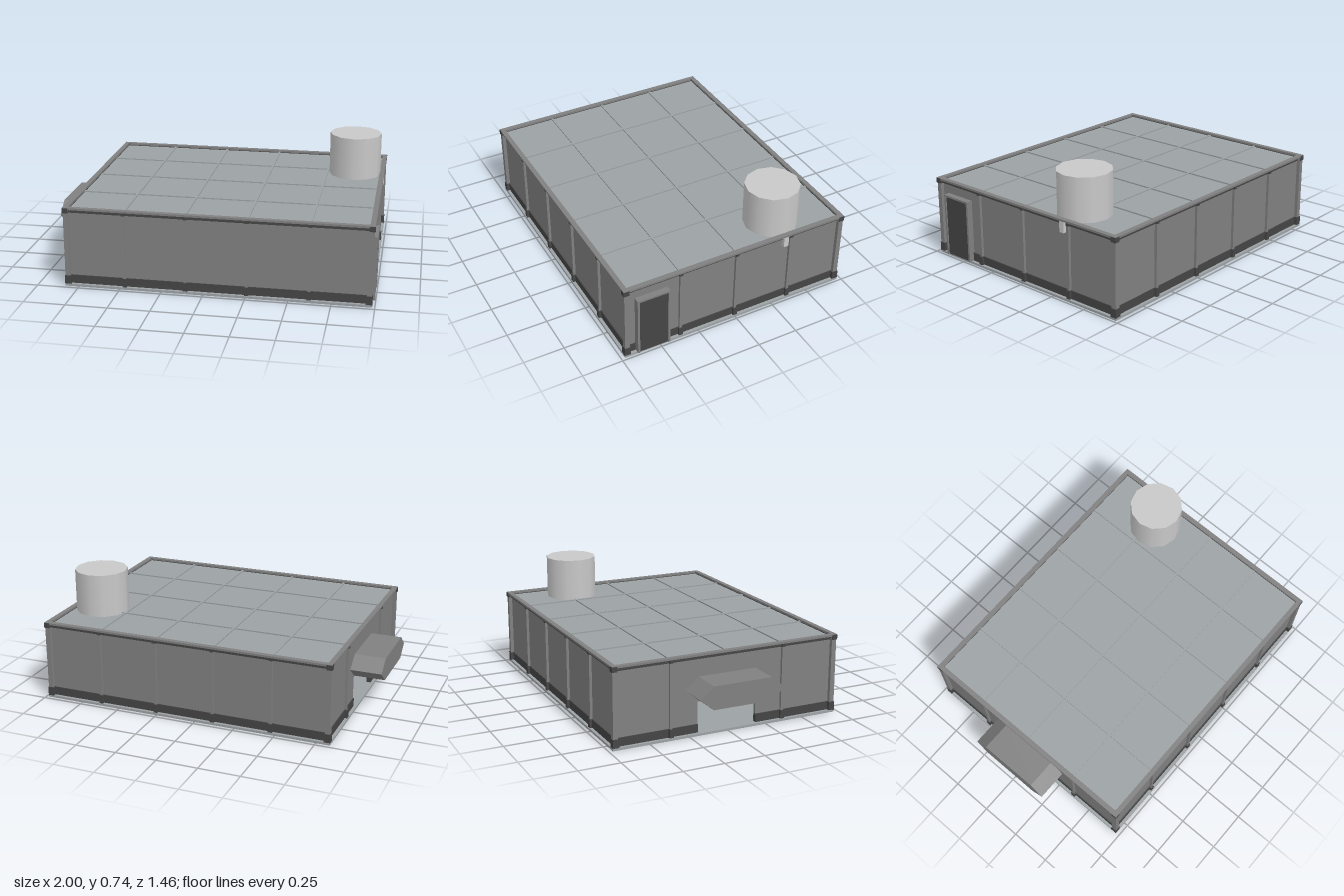
import * as THREE from 'three';

export function createModel() {
  const mat = (name, color) => {
    const m = new THREE.MeshStandardMaterial({ color });
    m.name = name;
    return m;
  };
  const wallGrey = mat('wall grey', 0x808080);
  const darkGrey = mat('dark grey', 0x454545);
  const panelGrey = mat('panel blue grey', 0x9ca1a4);
  const tankGrey = mat('tank light grey', 0xc8c8c8);

  const model = new THREE.Group();
  const CX = 0.075;          // centre of the main block in x
  const HX = 0.91, HZ = 0.727; // half sizes of the outer frame
  const INSET = 0.025;       // wall set back from the frame
  const T = 0.02;            // wall thickness

  const box = (parent, name, m, x0, x1, y0, y1, z0, z1) => {
    const mesh = new THREE.Mesh(new THREE.BoxGeometry(x1 - x0, y1 - y0, z1 - z0), m);
    mesh.position.set((x0 + x1) / 2, (y0 + y1) / 2, (z0 + z1) / 2);
    mesh.name = name;
    parent.add(mesh);
    return mesh;
  };

  const body = new THREE.Group();
  body.name = 'building';
  body.position.x = CX;
  model.add(body);

  // Floor and roof slabs
  box(body, 'floorSlab', panelGrey, -HX, HX, 0.004, 0.014, -HZ, HZ);
  box(body, 'roofSlab', panelGrey, -HX + 0.03, HX - 0.03, 0.46, 0.474, -HZ + 0.03, HZ - 0.03);

  // Ribs dividing roof and floor into 5 by 4 panels
  const stepX = 2 * HX / 5, stepZ = 2 * HZ / 4, rib = 0.006;
  const ribLevels = [['roofRib', 0.47, 0.482], ['floorRib', 0, 0.008]];
  for (const [name, y0, y1] of ribLevels) {
    for (let i = 1; i < 5; i++) {
      const x = -HX + i * stepX;
      box(body, name, panelGrey, x - rib, x + rib, y0, y1, -HZ + 0.028, HZ - 0.028);
    }
    for (let i = 1; i < 4; i++) {
      const z = -HZ + i * stepZ;
      box(body, name, panelGrey, -HX + 0.028, HX - 0.028, y0, y1 - 0.0005, z - rib, z + rib);
    }
  }

  // One side: local x runs along the wall, local +z points outward
  const side = (name, angle, L, D, panels, gap) => {
    const g = new THREE.Group();
    g.name = name;
    g.rotation.y = angle;
    body.add(g);
    const w = D - INSET, e = L - INSET;
    // Wall and dark skirting, split around an opening if there is one
    const spans = gap ? [[-e, -gap], [gap, e]] : [[-e, e]];
    for (const [a, b] of spans) {
      box(g, 'wall', wallGrey, a, b, 0.014, 0.46, w - T, w);
      box(g, 'skirting', darkGrey, a, b, 0.014, 0.065, w - T, w + 0.006);
    }
    if (gap) box(g, 'wallAboveOpening', wallGrey, -gap, gap, 0.2, 0.46, w - T, w);
    box(g, 'topBand', darkGrey, -e, e, 0.457, 0.479, w - 0.004, w + 0.008);
    box(g, 'roofRim', wallGrey, -L, L, 0.478, 0.49, D - 0.03, D);
    box(g, 'baseEdge', panelGrey, -L, L, 0, 0.006, D - 0.03, D);
    // Upright posts with dark feet and heads
    for (let i = 1; i < panels; i++) {
      const x = -L + i * 2 * L / panels;
      if (gap && Math.abs(x) < gap) continue;
      box(g, 'post', wallGrey, x - 0.008, x + 0.008, 0.014, 0.478, w - 0.004, w + 0.016);
      box(g, 'postFoot', darkGrey, x - 0.013, x + 0.013, 0.014, 0.066, w - 0.004, w + 0.021);
      box(g, 'postHead', darkGrey, x - 0.011, x + 0.011, 0.457, 0.479, w - 0.004, w + 0.019);
    }
    return g;
  };
  side('frontSide', 0, HX, HZ, 5);
  side('backSide', Math.PI, HX, HZ, 5);
  side('leftSide', Math.PI / 2, HZ, HX, 4);
  side('rightSide', -Math.PI / 2, HZ, HX, 4, 0.19);

  // Corner posts
  for (const sx of [-1, 1]) for (const sz of [-1, 1]) {
    const corner = (name, m, size, y0, y1, out) => {
      const b = box(body, name, m, -size / 2, size / 2, y0, y1, -size / 2, size / 2);
      b.position.x = sx * (HX - out - size / 2);
      b.position.z = sz * (HZ - out - size / 2);
    };
    corner('cornerPost', wallGrey, 0.03, 0.014, 0.478, 0.003);
    corner('cornerFoot', darkGrey, 0.038, 0.012, 0.066, 0);
    corner('cornerHead', darkGrey, 0.034, 0.457, 0.488, -0.001);
  }

  // Door with a raised frame on the left side
  const door = new THREE.Group();
  door.name = 'door';
  model.add(door);
  box(door, 'doorFrameFront', wallGrey, 0.955, 0.998, 0.012, 0.4, 0.637, 0.65);
  box(door, 'doorFrameBack', wallGrey, 0.955, 0.998, 0.012, 0.4, 0.443, 0.456);
  box(door, 'doorLintel', wallGrey, 0.955, 0.998, 0.388, 0.4, 0.456, 0.637);
  box(door, 'doorPanel', darkGrey, 0.955, 0.992, 0.014, 0.388, 0.456, 0.637);

  // Six-sided connecting duct on the right side
  const duct = new THREE.Shape([
    [0.27, 0.28], [0.185, 0.35], [-0.185, 0.35], [-0.27, 0.28], [-0.185, 0.21], [0.185, 0.21],
  ].map(([x, y]) => new THREE.Vector2(x, y)));
  const ductMesh = new THREE.Mesh(
    new THREE.ExtrudeGeometry(duct, { depth: 0.2, bevelEnabled: false }), wallGrey);
  ductMesh.rotation.y = -Math.PI / 2;
  ductMesh.position.x = -0.8;
  ductMesh.name = 'connectingDuct';
  model.add(ductMesh);

  // Dark floor plate under the opening
  box(model, 'floorPlate', darkGrey, -0.8, -0.68, 0.001, 0.006, -0.19, 0.19);

  // Roof tank and its drain pipe
  const tank = new THREE.Mesh(new THREE.CylinderGeometry(0.163, 0.163, 0.27, 12), tankGrey);
  tank.position.set(0.795, 0.605, -0.33);
  tank.name = 'roofTank';
  model.add(tank);
  box(model, 'tankPipe', tankGrey, 0.95, 0.984, 0.41, 0.478, -0.342, -0.31);

  return model;
}
